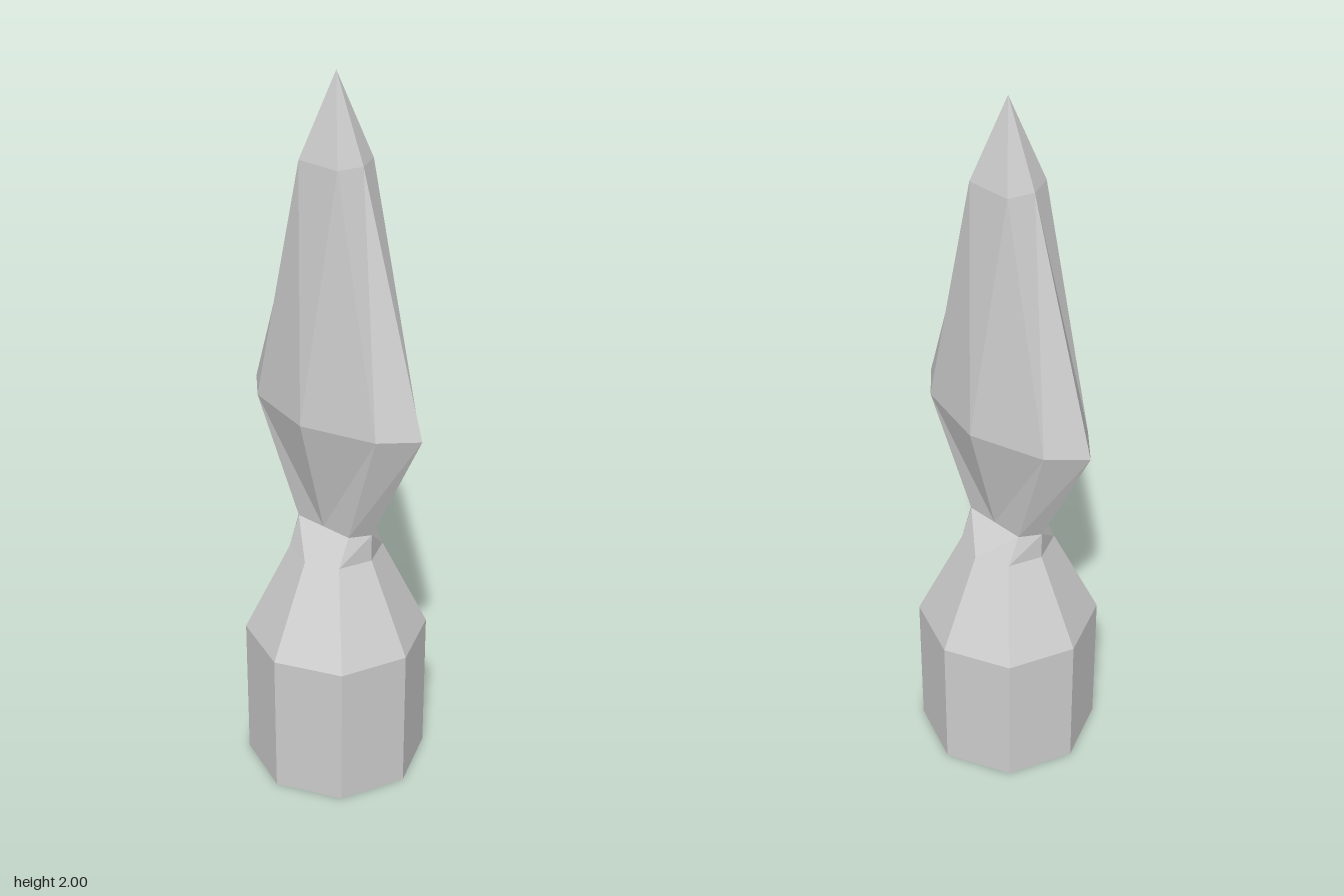
import * as THREE from 'three';

// Eight-sided ring: side point x, corner (cx, cz), front point z; all zero makes a tip
function ring(y, x, cx, cz, z) {
  return [[x, 0], [cx, cz], [0, z], [-cx, cz], [-x, 0], [-cx, -cz], [0, -z], [cx, -cz]]
    .map(([px, pz]) => new THREE.Vector3(px, y, pz));
}
const octagon = (y, r) => ring(y, r, r * Math.SQRT1_2, r * Math.SQRT1_2, r);
const tip = (y) => ring(y, 0, 0, 0, 0);

// Faceted skin between successive rings
function loft(name, rings, material) {
  const points = [];
  const tri = (a, b, c) => {
    const area = b.clone().sub(a).cross(c.clone().sub(a)).length();
    if (area > 1e-9) points.push(a, b, c);
  };
  for (let k = 0; k < rings.length - 1; k++) {
    for (let i = 0; i < 8; i++) {
      const j = (i + 1) % 8;
      const a = rings[k][i], b = rings[k][j], c = rings[k + 1][j], d = rings[k + 1][i];
      // Alternate diagonals so the facets mirror left to right and front to back
      if (Math.floor(i / 2) % 2 === 0) {
        tri(a, d, b);
        tri(b, d, c);
      } else {
        tri(a, c, b);
        tri(a, d, c);
      }
    }
  }
  const geometry = new THREE.BufferGeometry().setFromPoints(points);
  geometry.computeVertexNormals();
  const mesh = new THREE.Mesh(geometry, material);
  mesh.name = name;
  return mesh;
}

export function createModel() {
  const grey = new THREE.MeshStandardMaterial({ color: 0xcccccc });
  grey.name = 'light grey';

  const neck = ring(0.76, 0.127, 0.09, 0.052, 0.052);
  const group = new THREE.Group();
  group.name = 'spearhead';

  // Octagonal socket, tapering into a flattened neck
  group.add(loft('socket', [tip(0), octagon(0, 0.253), octagon(0.42, 0.253), octagon(0.68, 0.127), neck], grey));

  // Flat blade with a pointed tip
  group.add(loft('blade', [
    neck,
    ring(1.1, 0.29, 0.206, 0.083, 0.14),
    ring(1.78, 0.088, 0.063, 0.067, 0.067),
    tip(2),
  ], grey));
  return group;
}
